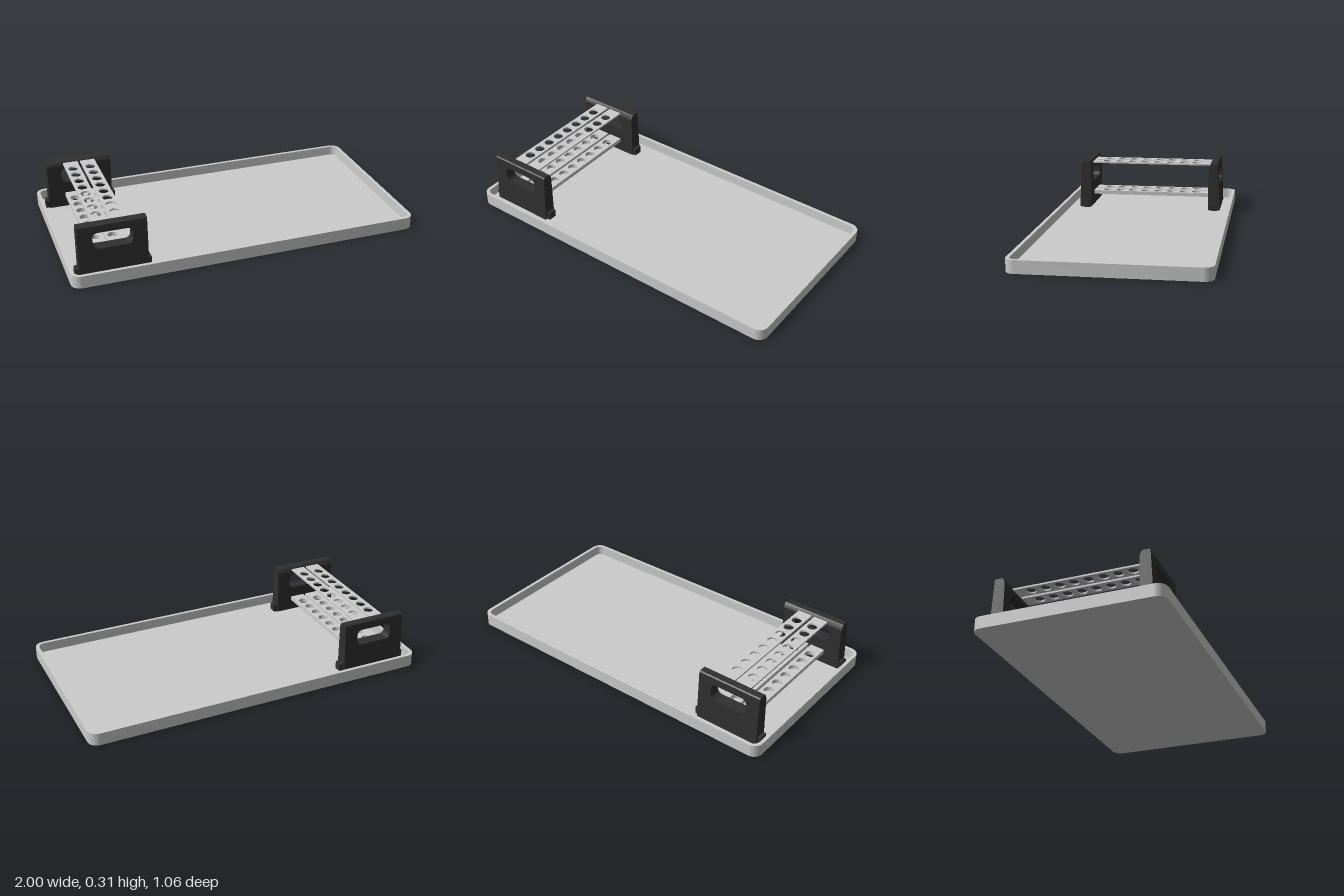
import * as THREE from 'three';
import { toCreasedNormals } from 'three/addons/utils/BufferGeometryUtils.js';

const grey = new THREE.MeshStandardMaterial({ color: 0xcccccc });
const dark = new THREE.MeshStandardMaterial({ color: 0x303030 });

// Rounded rectangle outline between two corners
function roundedRect(x0, y0, x1, y1, r, path = new THREE.Shape()) {
  path.absarc(x1 - r, y1 - r, r, 0, Math.PI / 2);
  path.absarc(x0 + r, y1 - r, r, Math.PI / 2, Math.PI);
  path.absarc(x0 + r, y0 + r, r, Math.PI, Math.PI * 1.5);
  path.absarc(x1 - r, y0 + r, r, Math.PI * 1.5, Math.PI * 2);
  path.closePath();
  return path;
}

function extrude(shape, depth) {
  return new THREE.ExtrudeGeometry(shape, { depth, bevelEnabled: false, curveSegments: 10 });
}

function addMesh(parent, name, geometry, material) {
  const mesh = new THREE.Mesh(toCreasedNormals(geometry, 0.6), material);
  mesh.name = name;
  parent.add(mesh);
  return mesh;
}

// Horizontal slab from a plan outline
function slab(shape, y, height) {
  return extrude(shape, height).rotateX(-Math.PI / 2).translate(0, y, 0);
}

const HALF = 0.19, FLOOR = 0.015, SHOULDER = 0.28, TOP = 0.31;

// Upright end block with a hand slot; the outer face leans inwards
function createEndBlock() {
  const block = new THREE.Group();
  const inner = 0.378;
  const outerAt = (y) => 0.453 - 0.05 * (y - FLOOR);

  const face = new THREE.Shape();
  face.moveTo(-HALF, FLOOR).lineTo(HALF, FLOOR).lineTo(HALF, SHOULDER).lineTo(-HALF, SHOULDER).closePath();
  face.holes.push(roundedRect(-0.11, 0.17, 0.11, 0.263, 0.03, new THREE.Path()));
  const body = extrude(face, 1);
  const p = body.attributes.position;
  for (let i = 0; i < p.count; i++) {
    p.setZ(i, p.getZ(i) > 0.5 ? outerAt(p.getY(i)) : inner);
  }
  body.computeVertexNormals();
  addMesh(block, 'blockBody', body, dark);

  // Chamfered top, drawn in section (-z, y) and swept along x
  const cap = new THREE.Shape();
  cap.moveTo(-outerAt(SHOULDER), SHOULDER).lineTo(-inner, SHOULDER).lineTo(-0.388, TOP - 0.004);
  cap.lineTo(-0.393, TOP).lineTo(-0.432, TOP).lineTo(-0.438, TOP - 0.006).closePath();
  addMesh(block, 'blockTop', extrude(cap, 2 * HALF).rotateY(Math.PI / 2).translate(-HALF, 0, 0), dark);

  // Locating tabs that rest on the tray floor
  const tab = new THREE.BoxGeometry(0.42, 0.045, 0.05).translate(0, FLOOR + 0.0225, 0.412);
  addMesh(block, 'blockFoot', tab, dark);
  return block;
}

// Long strip pierced by a row of eight holes
function createStrip(x, y, height) {
  const w = 0.043, l = 0.385;
  const plan = new THREE.Shape();
  plan.moveTo(x - w, -l).lineTo(x + w, -l).lineTo(x + w, l).lineTo(x - w, l).closePath();
  for (let i = 0; i < 8; i++) {
    plan.holes.push(new THREE.Path().absarc(x, (i - 3.5) * 0.0835, 0.029, 0, Math.PI * 2, true));
  }
  return slab(plan, y, height);
}

export function createModel() {
  const model = new THREE.Group();
  model.name = 'tubeRackTray';

  // Shallow tray: raised rim around a thin floor
  const tray = new THREE.Group();
  tray.name = 'tray';
  model.add(tray);
  const rim = roundedRect(-1, -0.53, 1, 0.53, 0.055);
  rim.holes.push(roundedRect(-0.98, -0.51, 0.98, 0.51, 0.037, new THREE.Path()));
  addMesh(tray, 'trayRim', slab(rim, 0, 0.072), grey);
  addMesh(tray, 'trayFloor', slab(roundedRect(-0.98, -0.51, 0.98, 0.51, 0.037), 0, FLOOR), grey);

  // Rack standing at the right end of the tray
  const rack = new THREE.Group();
  rack.name = 'rack';
  rack.position.x = -0.753;
  model.add(rack);

  const front = createEndBlock();
  front.name = 'frontEndBlock';
  const back = createEndBlock();
  back.name = 'backEndBlock';
  back.rotation.y = Math.PI;
  rack.add(front, back);

  for (const side of [-1, 1]) {
    const label = side < 0 ? 'right' : 'left';
    addMesh(rack, label + 'UpperStrip', createStrip(side * 0.051, 0.285, 0.01), grey);
    addMesh(rack, label + 'LowerStrip', createStrip(side * 0.051, 0.08, 0.024), grey);
  }
  return model;
}
